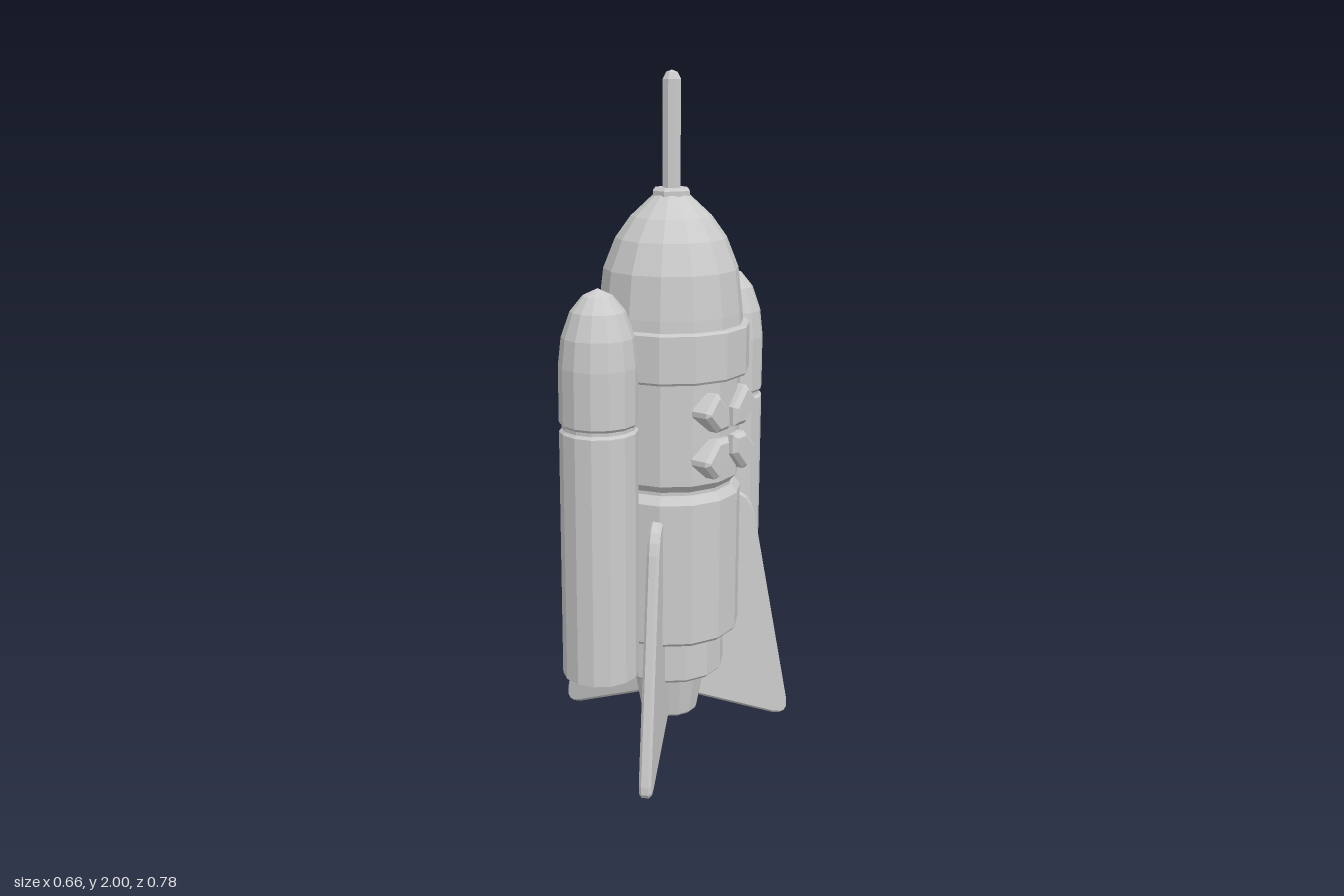
import * as THREE from 'three';

const material = new THREE.MeshStandardMaterial({ color: 0xcccccc, flatShading: true });
const rad = THREE.MathUtils.degToRad;
const AXIS_X = 0.073, AXIS_Z = 0.003;

// Turned part; profile is [radius, y] from bottom to top
function turned(name, profile, sides, x = AXIS_X, z = AXIS_Z) {
  const points = profile.map(([r, y]) => new THREE.Vector2(r, y));
  const mesh = new THREE.Mesh(new THREE.LatheGeometry(points, sides, rad(98)), material);
  mesh.name = name;
  mesh.position.set(x, 0, z);
  return mesh;
}

// Bevelled plate centred on its own thickness
function plate(name, shape, thickness, bevel) {
  const geometry = new THREE.ExtrudeGeometry(shape, {
    depth: thickness - 2 * bevel, bevelEnabled: true, bevelThickness: bevel,
    bevelSize: bevel, bevelOffset: -bevel, bevelSegments: 1, curveSegments: 4,
  });
  geometry.translate(0, 0, bevel - thickness / 2);
  const mesh = new THREE.Mesh(geometry, material);
  mesh.name = name;
  return mesh;
}

export function createModel() {
  const rocket = new THREE.Group();
  rocket.name = 'rocket';

  // Core, from engine to antenna
  rocket.add(
    turned('nozzle', [[0, 0.2], [0.065, 0.2], [0.062, 0.115], [0.068, 0.105],
      [0.08, 0.105], [0.086, 0.112], [0.112, 0.26]], 14),
    turned('engineRing', [[0, 0.25], [0.153, 0.25], [0.163, 0.26], [0.163, 0.4]], 14),
    turned('lowerBody', [[0, 0.385], [0.198, 0.385], [0.207, 0.395], [0.207, 0.815],
      [0.19, 0.838], [0, 0.838]], 14),
    turned('upperBody', [[0.183, 0.83], [0.183, 0.848], [0.202, 0.87], [0.202, 1.2]], 14),
    turned('collar', [[0.18, 1.165], [0.222, 1.165], [0.227, 1.172], [0.227, 1.302],
      [0.222, 1.308], [0.18, 1.308]], 14),
    turned('noseCone', [[0.208, 1.3], [0.206, 1.34], [0.192, 1.46], [0.158, 1.545],
      [0.115, 1.605], [0.05, 1.665], [0, 1.665]], 14),
    turned('antennaBase', [[0.055, 1.655], [0.055, 1.675], [0.048, 1.683], [0, 1.683]], 8),
    turned('antenna', [[0.027, 1.67], [0.027, 1.975], [0.017, 1.994], [0, 2]], 8),
  );

  // Side boosters, open underneath
  const boosterProfile = [[0.11, 0.312], [0.11, 1.036], [0.103, 1.044], [0.103, 1.054],
    [0.11, 1.062], [0.11, 1.22], [0.101, 1.3], [0.076, 1.37], [0.042, 1.412], [0, 1.432]];
  rocket.add(
    turned('frontBooster', boosterProfile, 14, -0.003, 0.275),
    turned('backBooster', boosterProfile, 14, 0.111, -0.28),
  );

  // Three swept fins; shape is drawn as distance from the axis and height
  const fin = new THREE.Shape();
  fin.moveTo(0.08, 0.125);
  fin.lineTo(0.345, 0.01);
  fin.quadraticCurveTo(0.405, -0.012, 0.396, 0.045);
  fin.lineTo(0.272, 0.69);
  fin.quadraticCurveTo(0.255, 0.768, 0.2, 0.77);
  fin.lineTo(0.12, 0.77);
  fin.lineTo(0.08, 0.5);
  [['leftFin', -51.4, 0.405], ['frontFin', 70.3, 0.41], ['rightFin', 187, 0.395]].forEach(([name, angle, reach]) => {
    const mesh = plate(name, fin, 0.036, 0.008);
    mesh.scale.x = reach / 0.395;
    mesh.position.set(0.065, 0, -0.005);
    mesh.rotation.y = -rad(angle);
    rocket.add(mesh);
  });

  // Cross of four pointed pads on the side of the hull
  const pad = new THREE.Shape();
  pad.moveTo(0.018, 0);
  [[0.056, -0.04], [0.13, -0.042], [0.141, -0.032], [0.141, 0.032], [0.13, 0.042], [0.056, 0.04]]
    .forEach(([x, y]) => pad.lineTo(x, y));
  const pads = new THREE.Group();
  pads.name = 'hullPads';
  for (let i = 0; i < 4; i++) {
    const mesh = plate('hullPad', pad, 0.07, 0.012);
    mesh.rotation.z = rad(45 + 90 * i);
    mesh.position.z = 0.188;
    pads.add(mesh);
  }
  pads.position.set(AXIS_X, 1.012, AXIS_Z);
  pads.rotation.y = rad(90 - 7.7);
  rocket.add(pads);

  return rocket;
}
